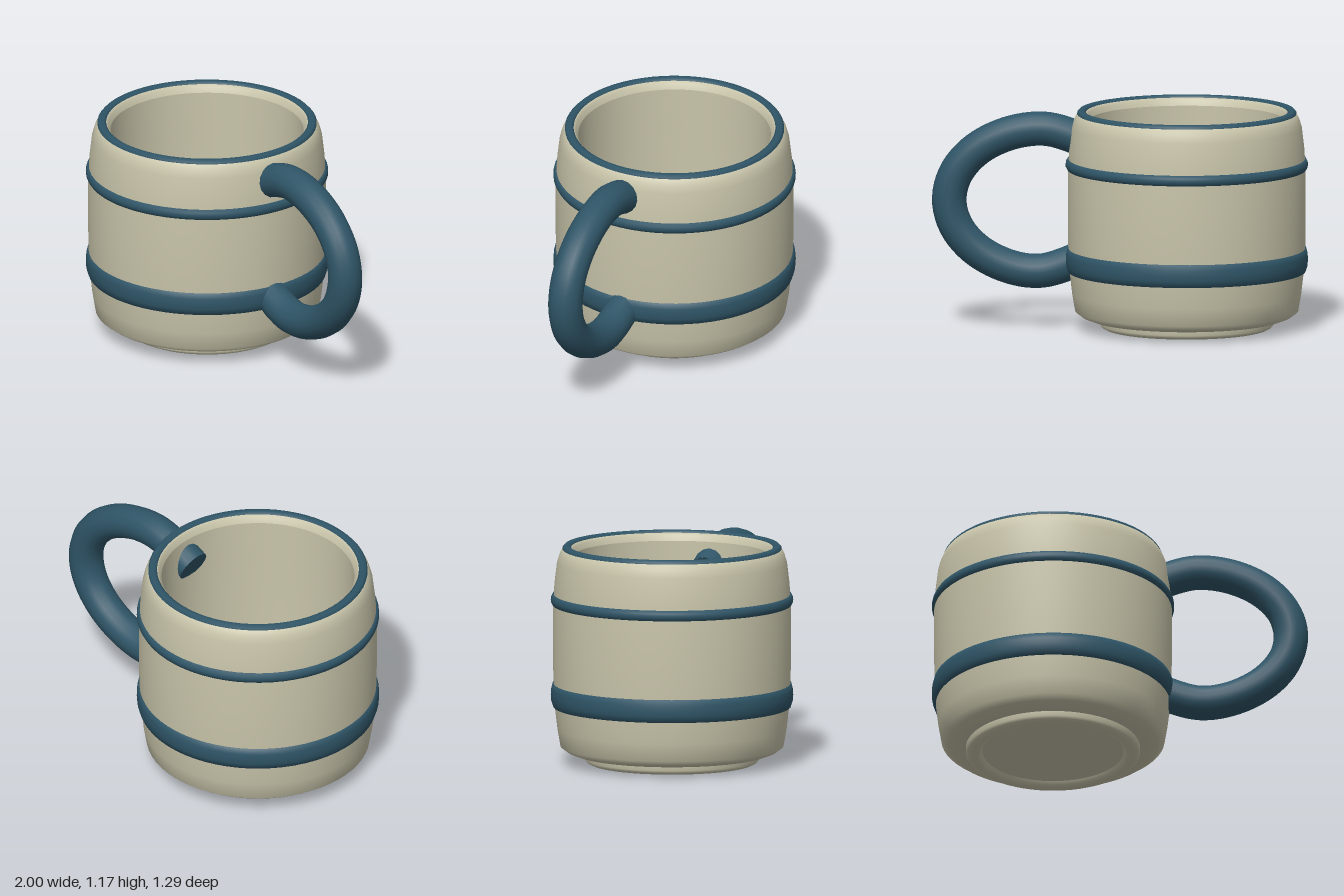
import * as THREE from 'three';

const CENTER_X = -0.356;

export function createModel() {
  const cream = new THREE.MeshStandardMaterial({ color: 0xc8c4aa });
  cream.name = 'cream glaze';
  const blue = new THREE.MeshStandardMaterial({ color: 0x2f5567 });
  blue.name = 'dark blue glaze';

  const model = new THREE.Group();
  model.name = 'mug';
  const cup = new THREE.Group();
  cup.name = 'cup';
  cup.position.x = CENTER_X;
  model.add(cup);

  // Turns a [radius, height] profile; outer walls run upwards
  function turned(name, profile, material) {
    const points = profile.map(([r, y]) => new THREE.Vector2(r, y));
    const mesh = new THREE.Mesh(new THREE.LatheGeometry(points, 64), material);
    mesh.name = name;
    cup.add(mesh);
  }

  // Barrel-shaped outside wall
  turned('outerWall', [
    [0.44, 0.05], [0.515, 0.053], [0.56, 0.07], [0.594, 0.095], [0.61, 0.19], [0.624, 0.31],
    [0.631, 0.45], [0.633, 0.62], [0.633, 0.85], [0.625, 0.97], [0.612, 1.08],
    [0.6, 1.12], [0.584, 1.152], [0.565, 1.158],
  ], cream);

  // Lip, inside wall and floor
  turned('lip', [[0.55, 1.162], [0.537, 1.16], [0.525, 1.148], [0.513, 1.12]], cream);
  turned('innerWall', [
    [0.513, 1.12], [0.511, 0.9], [0.51, 0.5], [0.5, 0.25], [0.46, 0.16], [0.36, 0.125], [0, 0.11],
  ], cream);

  // Foot ring with a recessed base
  turned('footRing', [
    [0.375, 0.03], [0.385, 0.012], [0.4, 0.002], [0.418, 0], [0.436, 0.002],
    [0.455, 0.012], [0.463, 0.025], [0.464, 0.055],
  ], cream);
  const base = new THREE.Mesh(new THREE.CircleGeometry(0.38, 64), cream);
  base.name = 'base';
  base.rotation.x = Math.PI / 2;
  base.position.y = 0.03;
  cup.add(base);

  // Painted rim and raised bands
  turned('rim', [
    [0.583, 1.146], [0.583, 1.16], [0.572, 1.172], [0.55, 1.172], [0.537, 1.163], [0.537, 1.15],
  ], blue);
  turned('lowerBand', [
    [0.615, 0.306], [0.633, 0.308], [0.643, 0.34], [0.645, 0.37], [0.643, 0.4], [0.636, 0.43], [0.615, 0.432],
  ], blue);
  turned('upperBand', [
    [0.62, 0.852], [0.636, 0.855], [0.644, 0.87], [0.645, 0.882], [0.643, 0.895], [0.635, 0.91], [0.615, 0.912],
  ], blue);

  // Loop handle whose ends pass through the wall
  const path = new THREE.CatmullRomCurve3([
    [0.12, 0.965], [0.26, 1.03], [0.41, 1.065], [0.6, 1.035], [0.77, 0.945], [0.875, 0.82],
    [0.91, 0.68],
    [0.875, 0.54], [0.77, 0.415], [0.6, 0.325], [0.43, 0.3], [0.27, 0.345], [0.14, 0.41],
  ].map(([x, y]) => new THREE.Vector3(x, y, 0)));
  const handle = new THREE.Group();
  handle.name = 'handle';
  const loop = new THREE.Mesh(new THREE.TubeGeometry(path, 64, 0.092, 16), blue);
  loop.name = 'handleLoop';
  handle.add(loop);
  for (const t of [0, 1]) {
    const cap = new THREE.Mesh(new THREE.CircleGeometry(0.092, 16), blue);
    cap.name = t ? 'lowerHandleEnd' : 'upperHandleEnd';
    const outward = path.getTangentAt(t).multiplyScalar(t ? 1 : -1);
    cap.position.copy(path.getPointAt(t));
    cap.quaternion.setFromUnitVectors(new THREE.Vector3(0, 0, 1), outward);
    handle.add(cap);
  }
  model.add(handle);

  return model;
}
